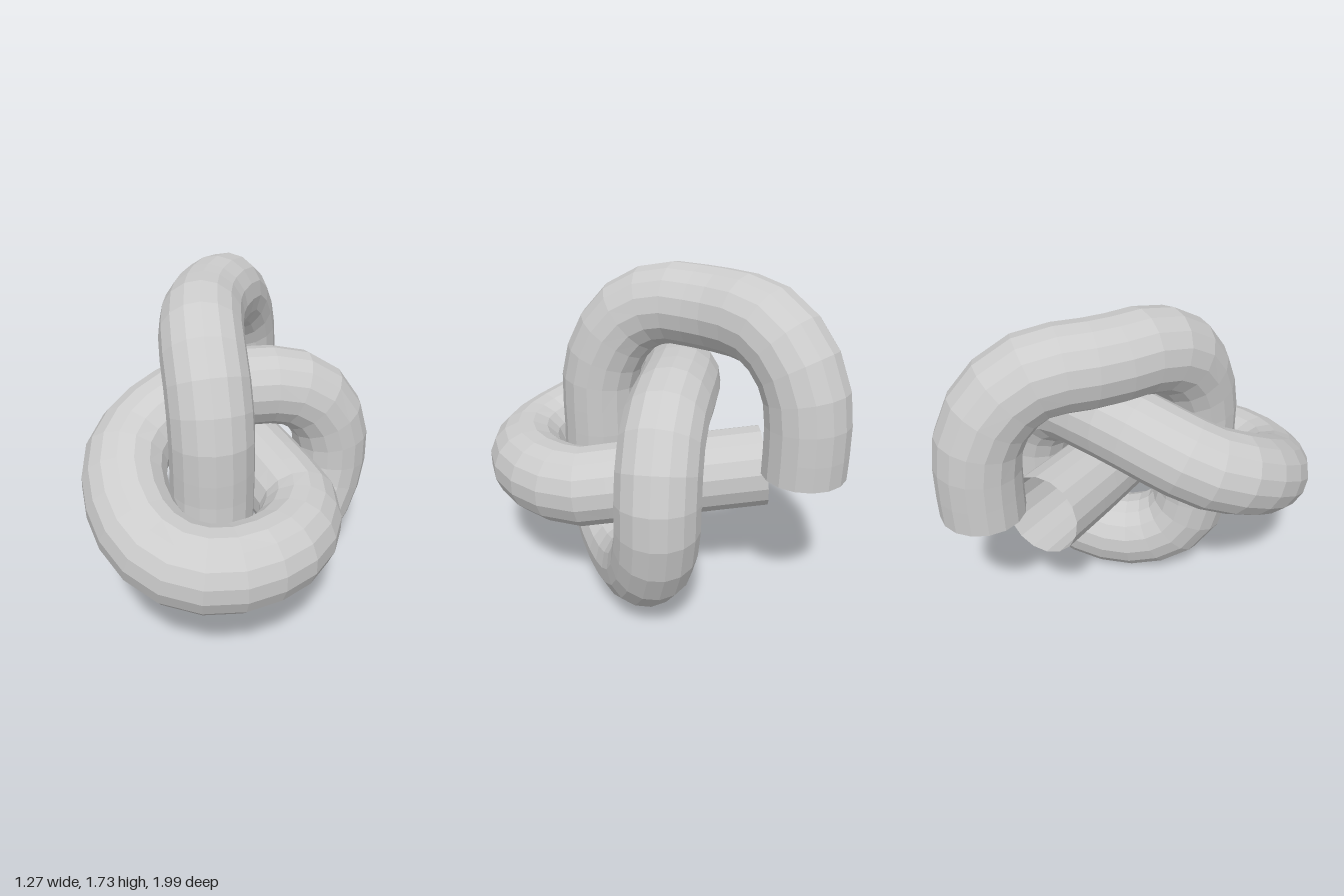
import * as THREE from 'three';

export function createModel() {
  const group = new THREE.Group();
  group.name = 'knot';

  // Centreline of the rope, from the hanging end to the tucked-in end
  const path = [
    // hanging end and top arch
    [-0.24, 0.82, -0.79], [-0.24, 1.1, -0.79], [-0.24, 1.27, -0.755], [-0.24, 1.41, -0.66],
    [-0.24, 1.5, -0.53], [-0.24, 1.525, -0.4], [-0.23, 1.525, -0.2], [-0.16, 1.52, 0.06],
    [-0.09, 1.44, 0.22], [-0.03, 1.29, 0.32], [0, 1.1, 0.37],
    // straight drop through the front loop
    [0, 0.85, 0.37], [0, 0.5, 0.37],
    // bottom and back loop
    [0.03, 0.34, 0.3], [0.09, 0.24, 0.17], [0.17, 0.207, 0], [0.27, 0.26, -0.19],
    [0.35, 0.38, -0.33], [0.4, 0.58, -0.415], [0.4, 0.82, -0.42], [0.33, 1.0, -0.37],
    [0.2, 1.1, -0.29], [0, 1.125, -0.17], [-0.2, 1.115, -0.03],
    // front loop
    [-0.34, 1.06, 0.12], [-0.42, 0.99, 0.27], [-0.43, 0.93, 0.42], [-0.35, 0.83, 0.6],
    [-0.19, 0.72, 0.74], [0, 0.66, 0.79], [0.18, 0.64, 0.75], [0.32, 0.64, 0.64],
    [0.41, 0.64, 0.48], [0.425, 0.64, 0.3], [0.38, 0.645, 0.14],
    // straight run to the tucked end
    [0.28, 0.665, 0.03], [0, 0.71, -0.24], [-0.28, 0.755, -0.52],
  ].map((p) => new THREE.Vector3(...p));

  const curve = new THREE.CatmullRomCurve3(path, false, 'centripetal');
  const rope = new THREE.Mesh(
    new THREE.TubeGeometry(curve, 60, 0.207, 16, false),
    new THREE.MeshStandardMaterial({ color: 0xcccccc, flatShading: true, side: THREE.DoubleSide }),
  );
  rope.name = 'rope';
  group.add(rope);
  return group;
}
